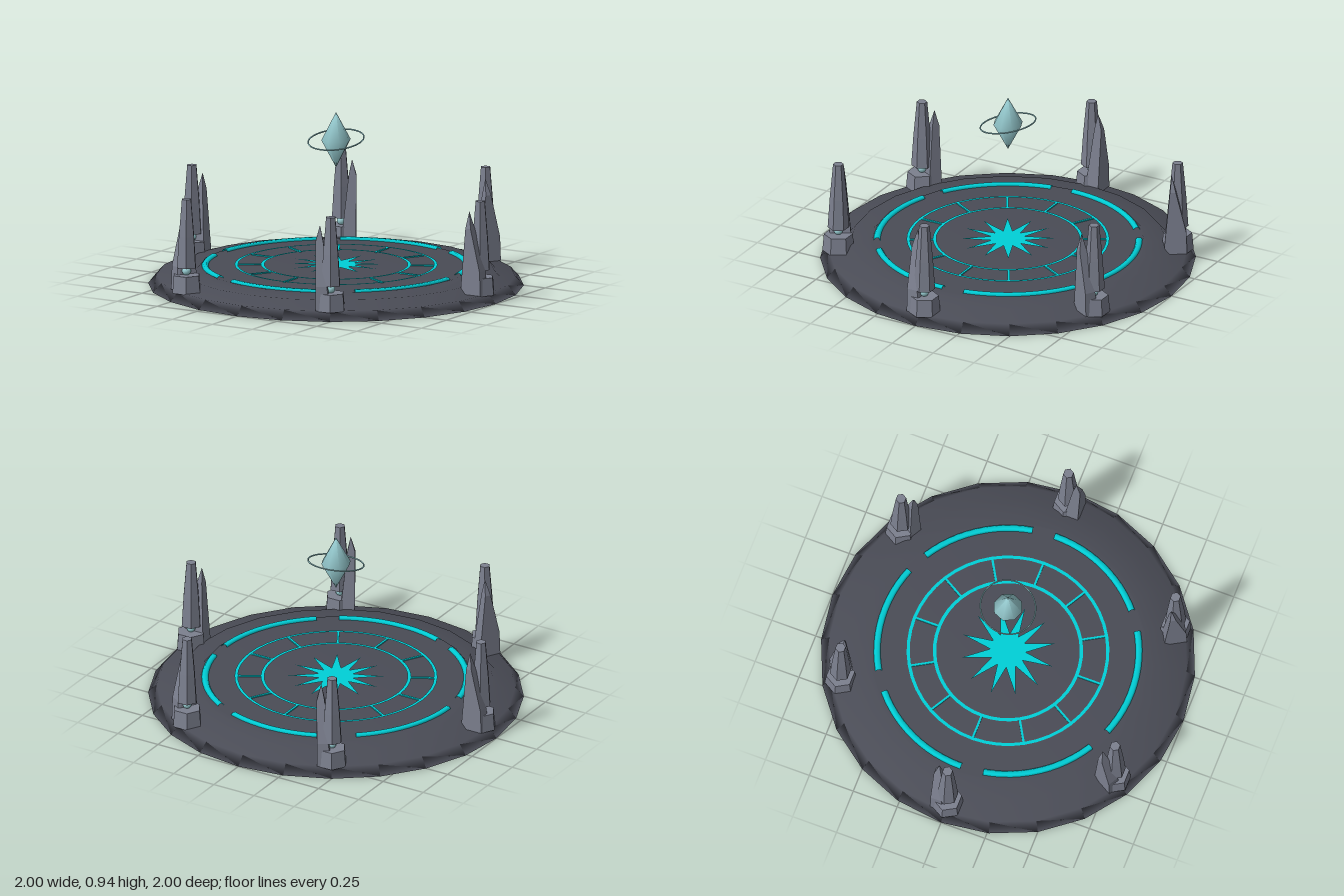
import * as THREE from 'three';
import { ConvexGeometry } from 'three/addons/geometries/ConvexGeometry.js';

const mat = (name, color, extra = {}) => new THREE.MeshStandardMaterial({ name, color, ...extra });

export function createModel() {
  const model = new THREE.Group();
  model.name = 'altar';
  const darkStone = mat('dark stone', 0x4a4c56);
  const stone = mat('grey stone', 0x7c808f, { flatShading: true });
  const glow = mat('glowing teal', 0x00d0d8, { side: THREE.DoubleSide });
  const paleCrystal = mat('pale crystal', 0x9ad0d5);

  const add = (parent, name, geometry, material, y = 0) => {
    const mesh = new THREE.Mesh(geometry, material);
    mesh.name = name;
    mesh.position.y = y;
    parent.add(mesh);
    return mesh;
  };
  const flat = (geometry) => geometry.rotateX(-Math.PI / 2);
  const lathe = (points, sides) =>
    new THREE.LatheGeometry(points.map(([r, y]) => new THREE.Vector2(r, y)), sides);

  // Stepped round platform
  add(model, 'platform', lathe([
    [0, 0], [1, 0], [0.955, 0.05], [0.87, 0.05], [0.84, 0.085],
    [0.74, 0.085], [0.725, 0.1], [0, 0.1],
  ], 24), darkStone);

  // Inlaid floor rings and the spokes between them
  add(model, 'outerRing', flat(new THREE.RingGeometry(0.523, 0.54, 48)), glow, 0.107);
  add(model, 'innerRing', flat(new THREE.RingGeometry(0.382, 0.4, 48)), glow, 0.107);
  for (let i = 0; i < 12; i++) {
    const spoke = new THREE.BoxGeometry(0.13, 0.006, 0.012).translate(0.461, 0, 0);
    add(model, 'spoke', spoke.rotateY(i * Math.PI / 6), glow, 0.104);
  }

  // Twelve pointed star
  const star = new THREE.Shape();
  for (let i = 0; i < 24; i++) {
    const r = i % 2 ? 0.095 : 0.255, a = i * Math.PI / 12;
    star[i ? 'lineTo' : 'moveTo'](r * Math.cos(a), r * Math.sin(a));
  }
  add(model, 'star', flat(new THREE.ShapeGeometry(star)), glow, 0.11);

  // Raised rim arcs
  for (let i = 0; i < 6; i++) {
    const arc = flat(new THREE.TorusGeometry(0.697, 0.018, 6, 12, THREE.MathUtils.degToRad(50)));
    arc.scale(1, 0.7, 1).rotateY(THREE.MathUtils.degToRad(70 + 60 * i));
    add(model, 'rimArc', arc, glow, 0.102);
  }

  // Six pillars: local +x points outward, +z along the rim
  const shardPoints = [
    [0.05, 0.05, 0], [-0.075, 0.05, 0], [-0.075, 0.05, 0.08], [0.05, 0.05, 0.08],
    [0.045, 0.18, 0.08], [0.045, 0.18, 0.02],
    [-0.042, 0.41, 0.04], [-0.042, 0.41, 0.082], [-0.01, 0.41, 0.082], [-0.01, 0.41, 0.04],
    [-0.032, 0.5, 0.058],
  ].map((p) => new THREE.Vector3(...p));
  for (let i = 0; i < 6; i++) {
    const a = i * Math.PI / 3;
    const pillar = new THREE.Group();
    pillar.name = 'pillar';
    pillar.position.set(0.903 * Math.cos(a), 0, 0.903 * Math.sin(a));
    pillar.rotation.y = -a;
    const hex = (top, bottom, height) =>
      new THREE.CylinderGeometry(top, bottom, height, 6).rotateY(Math.PI / 6);
    add(pillar, 'pillarBase', hex(0.077, 0.085, 0.095), stone, 0.0925);
    add(pillar, 'pillarGem', new THREE.SphereGeometry(0.024, 12, 8), paleCrystal, 0.16);
    add(pillar, 'pillarLower', hex(0.046, 0.057, 0.17), stone, 0.265);
    add(pillar, 'pillarUpper', hex(0.028, 0.046, 0.2), stone, 0.45);
    add(pillar, 'pillarShard', new ConvexGeometry(shardPoints), stone);
    model.add(pillar);
  }

  // Floating crystal with its tilted halo
  add(model, 'crystal', lathe([[0, -0.15], [0.08, 0], [0, 0.15]], 8), paleCrystal, 0.785);
  const halo = add(model, 'halo', flat(new THREE.TorusGeometry(0.15, 0.004, 6, 40)), paleCrystal, 0.785);
  halo.rotation.x = 0.2;

  return model;
}
